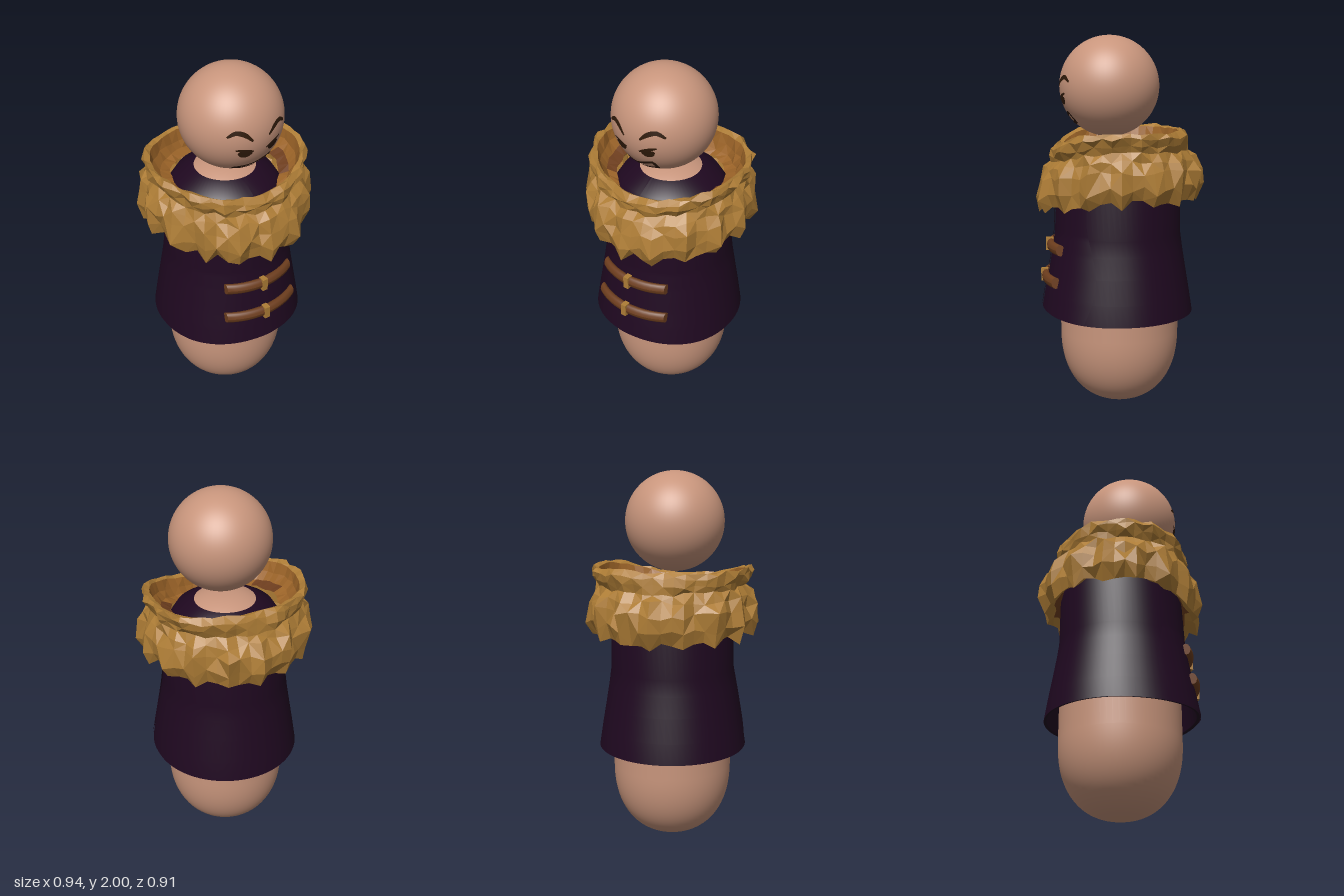
import * as THREE from 'three';
import { ParametricGeometry } from 'three/addons/geometries/ParametricGeometry.js';

const mat = (name, color, side = THREE.FrontSide) => {
  const m = new THREE.MeshStandardMaterial({ color, side });
  m.name = name;
  return m;
};

// Coat outline as [radius, height], hem to neck
const COAT = [[0.402, 0.51], [0.385, 0.62], [0.363, 0.75], [0.345, 0.86], [0.333, 0.95], [0.331, 1.2], [0.31, 1.29], [0.26, 1.37], [0.168, 1.422]];

// Front of the coat is a little fuller than a circle
const fullness = (a, y) => {
  const c = Math.max(0, Math.cos(a));
  const low = THREE.MathUtils.clamp((1.25 - y) / 0.3, 0, 1);
  return 1 + low * (0.04 * c + (c > 0 ? 0.012 * Math.sin(2 * a) ** 2 : 0));
};
function coatRadius(a, y) {
  let i = 0;
  while (i < COAT.length - 2 && y > COAT[i + 1][1]) i++;
  const [r0, y0] = COAT[i], [r1, y1] = COAT[i + 1];
  return (r0 + (r1 - r0) * (y - y0) / (y1 - y0)) * fullness(a, y);
}
const hemLift = (a, y) => 0.024 * Math.max(0, Math.cos(a)) ** 3 * THREE.MathUtils.clamp((0.72 - y) / 0.2, 0, 1);

// Seeded noise for the fur
function random(seed) {
  return () => {
    seed = (seed * 16807) % 2147483647;
    return seed / 2147483647 - 0.5;
  };
}

// Body: rounded column with softly squared ends
function bodyGeometry() {
  const pts = [], n = 24, R = 0.324;
  const end = (t) => R * Math.pow(Math.max(0, 1 - Math.pow(t, 2.3)), 1 / 2.3);
  for (let i = 0; i <= n; i++) {
    const t = Math.cos(i / n * Math.PI / 2);
    pts.push(new THREE.Vector2(end(t), 0.4 - 0.4 * t));
  }
  for (let i = 0; i <= n; i++) {
    const t = Math.sin(i / n * Math.PI / 2);
    pts.push(new THREE.Vector2(end(t), 1.1 + 0.35 * t));
  }
  return new THREE.LatheGeometry(pts, 64);
}

// Coat: inner wall down, hem, outer wall up, neck edge
function coatGeometry() {
  const prof = [[0.326, 1.1], [0.327, 0.95], [0.386, 0.517], [0.388, 0.512], [0.399, 0.51], ...COAT, [0.155, 1.41]];
  const g = new THREE.LatheGeometry(prof.map(p => new THREE.Vector2(...p)), 72);
  const p = g.attributes.position;
  for (let i = 0; i < p.count; i++) {
    const y = p.getY(i), a = Math.atan2(p.getX(i), p.getZ(i)), f = fullness(a, y);
    p.setXYZ(i, p.getX(i) * f, y + hemLift(a, y), p.getZ(i) * f);
  }
  g.computeVertexNormals();
  return g;
}

// Sheet lying on the coat between two angle limits given by height
function coatPanel(from, to, y0, y1, off) {
  return new ParametricGeometry((u, v, out) => {
    const y = y0 + (y1 - y0) * v, a = from(y) + (to(y) - from(y)) * u;
    const r = coatRadius(a, y) + off;
    out.set(r * Math.sin(a), y + hemLift(a, y), r * Math.cos(a));
  }, 30, 24);
}

// Fur collar: jittered rings, split into outer fur, lining and brown patches
function collarGeometries() {
  const rnd = random(4242), cols = 48, lobes = 16;
  // radius across, radius along z, height, tuft size, roughness
  const rows = [
    [0.318, 0.318, 1.23, 0, 0.004], [0.375, 0.365, 1.155, 0.02, 0.014], [0.415, 0.405, 1.115, 0.04, 0.02],
    [0.438, 0.428, 1.19, 0.05, 0.022], [0.435, 0.42, 1.265, 0.045, 0.024], [0.415, 0.395, 1.33, 0.035, 0.02],
    [0.395, 0.36, 1.38, 0.015, 0.014], [0.41, 0.365, 1.425, 0.025, 0.016], [0.422, 0.362, 1.475, 0.02, 0.014],
    [0.412, 0.342, 1.507, 0.01, 0.012], [0.392, 0.32, 1.492, 0, 0.006], [0.378, 0.31, 1.425, 0, 0.008],
    [0.345, 0.295, 1.375, 0, 0.008], [0.285, 0.258, 1.35, 0, 0.008],
  ];
  const grid = rows.map(([rx, rz, y, tuft, rough], j) => {
    const ring = [];
    for (let i = 0; i < cols; i++) {
      const a = i / cols * Math.PI * 2, c = Math.cos(a), s = Math.sin(a);
      const lobe = Math.abs(Math.cos(lobes * a / 2 + (j > 5 ? 0.9 : 0))) - 0.5;
      const top = THREE.MathUtils.clamp((y - 1.3) / 0.2, 0, 1);
      const bump = tuft * lobe + rough * rnd() * 1.6 + 0.02 * top * Math.sin(2 * a) ** 2;
      const dip = top * 0.09 * Math.max(0, c) ** 3;
      const lift = (1 - top) * (0.045 * s * s + (c < 0 ? 0.03 * c * c : -0.025 * c));
      const droop = j > 0 && j < 4 ? -0.045 * lobe : 0;
      ring.push([(rx + bump) * s, y - dip + lift + droop + rough * rnd() * 1.4, (rz + bump) * c]);
    }
    return ring;
  });
  const everywhere = () => true;
  const band = (j0, j1, keep = everywhere) => {
    const pos = [];
    for (let j = j0; j < j1; j++) for (let i = 0; i < cols; i++) {
      if (!keep(i)) continue;
      const k = (i + 1) % cols;
      const a = grid[j][i], b = grid[j][k], c = grid[j + 1][k], d = grid[j + 1][i];
      if ((i + j) % 2) pos.push(...a, ...b, ...d, ...b, ...c, ...d);
      else pos.push(...a, ...b, ...c, ...a, ...c, ...d);
    }
    const g = new THREE.BufferGeometry();
    g.setAttribute('position', new THREE.Float32BufferAttribute(pos, 3));
    g.computeVertexNormals();
    return g;
  };
  // Brown shows only at the front half of both sides
  const sides = (i) => {
    const a = Math.min(i + 0.5, cols - i - 0.5) / cols * 360;
    return a > 52 && a < 90;
  };
  return {
    under: band(0, 1), fur: band(1, 10), lining: band(10, 12),
    base: band(12, 13, i => !sides(i)), patches: band(12, 13, sides),
  };
}

// Painted stroke on the head; points are [x, y, half width]
const HEAD = { r: 0.267, y: 1.733, z: 0.053 };
function stroke(points, closed = false) {
  const curve = new THREE.CatmullRomCurve3(points.map(p => new THREE.Vector3(...p)), closed, 'catmullrom', closed ? 0.1 : 0.5);
  const n = 40, pos = [], idx = [], R = HEAD.r + 0.003;
  for (let i = 0; i <= n; i++) {
    const p = curve.getPoint(i / n), t = curve.getTangent(i / n);
    const l = Math.hypot(t.x, t.y) || 1, w = Math.max(0.001, p.z);
    for (const s of [-1, 1]) {
      const x = p.x - s * w * t.y / l, y = p.y + s * w * t.x / l;
      pos.push(x, y, HEAD.z + Math.sqrt(R * R - x * x - (y - HEAD.y) ** 2));
    }
    if (i < n) idx.push(2 * i, 2 * i + 2, 2 * i + 1, 2 * i + 1, 2 * i + 2, 2 * i + 3);
  }
  const g = new THREE.BufferGeometry();
  g.setAttribute('position', new THREE.Float32BufferAttribute(pos, 3));
  g.setIndex(idx);
  g.computeVertexNormals();
  return g;
}

export function createModel() {
  const model = new THREE.Group();
  const skin = mat('skin', 0xc8957c);
  const cloth = mat('dark purple cloth', 0x1f0820, THREE.DoubleSide);
  const fur = mat('golden fur', 0xae7d36, THREE.DoubleSide);
  const amber = mat('amber lining', 0x9c6428, THREE.DoubleSide);
  const brown = mat('brown toggle', 0x6e3e1e, THREE.DoubleSide);
  const ink = mat('face paint', 0x301b0b, THREE.DoubleSide);
  const add = (name, geometry, material) => {
    const m = new THREE.Mesh(geometry, material);
    m.name = name;
    model.add(m);
    return m;
  };

  add('body', bodyGeometry(), skin);
  add('head', new THREE.SphereGeometry(HEAD.r, 64, 48), skin).position.set(0, HEAD.y, HEAD.z);

  // Face
  add('rightEyebrow', stroke([[-0.162, 1.757, 0.005], [-0.125, 1.778, 0.011], [-0.085, 1.765, 0.012], [-0.046, 1.728, 0.005]]), ink);
  add('leftEyebrow', stroke([[0.046, 1.735, 0.005], [0.085, 1.768, 0.012], [0.125, 1.78, 0.011], [0.165, 1.757, 0.005]]), ink);
  add('rightEyelid', stroke([[-0.126, 1.684, 0.004], [-0.08, 1.676, 0.009], [-0.036, 1.666, 0.004]]), ink);
  add('leftEyelid', stroke([[0.036, 1.664, 0.004], [0.08, 1.682, 0.009], [0.126, 1.698, 0.004]]), ink);
  add('rightEye', stroke([[-0.112, 1.664, 0.005], [-0.09, 1.658, 0.021], [-0.065, 1.655, 0.021], [-0.043, 1.658, 0.005]]), ink);
  add('leftEye', stroke([[0.048, 1.66, 0.005], [0.067, 1.66, 0.021], [0.092, 1.663, 0.021], [0.114, 1.674, 0.005]]), ink);
  add('mouth', stroke([[-0.1, 1.547, 0.008], [-0.01, 1.56, 0.008], [0.04, 1.582, 0.008], [0.088, 1.598, 0.008],
    [0.09, 1.55, 0.008], [0.02, 1.536, 0.008], [-0.05, 1.534, 0.008]], true), ink);

  // Coat with overlapping front panel and placket
  add('coat', coatGeometry(), cloth);
  const edge = (y) => 1.12 + 0.1 * Math.sin((y - 0.55) * 9) + 0.1 * Math.max(0, y - 1);
  add('coatFront', coatPanel(y => -edge(y), edge, 0.515, 1.24, 0.006), cloth);
  add('placket', coatPanel(() => -0.1, () => 0.08, 0.52, 1.24, 0.012), cloth);

  // Toggles bent around the front, each with a clasp
  for (const [y, len] of [[0.877, 0.4], [0.705, 0.43]]) {
    const g = new THREE.CylinderGeometry(0.031, 0.031, len, 12, 12).rotateZ(Math.PI / 2);
    const p = g.attributes.position;
    for (let i = 0; i < p.count; i++) {
      const x = p.getX(i), a = Math.asin(x / (coatRadius(0, y) * 1.03));
      p.setZ(i, p.getZ(i) * 0.75 + coatRadius(a, y) * Math.cos(a) + 0.017);
    }
    g.computeVertexNormals();
    add('toggle', g.translate(0, y, 0), brown);
    add('clasp', new THREE.BoxGeometry(0.03, 0.07, 0.04), fur).position.set(-0.005, y, coatRadius(0, y) + 0.025);
  }

  // Fur collar
  const collar = collarGeometries();
  add('collarUnderside', collar.under, brown);
  add('collarFur', collar.fur, fur);
  add('collarLining', collar.lining, amber);
  add('collarBase', collar.base, amber);
  add('collarPatches', collar.patches, brown);
  return model;
}
